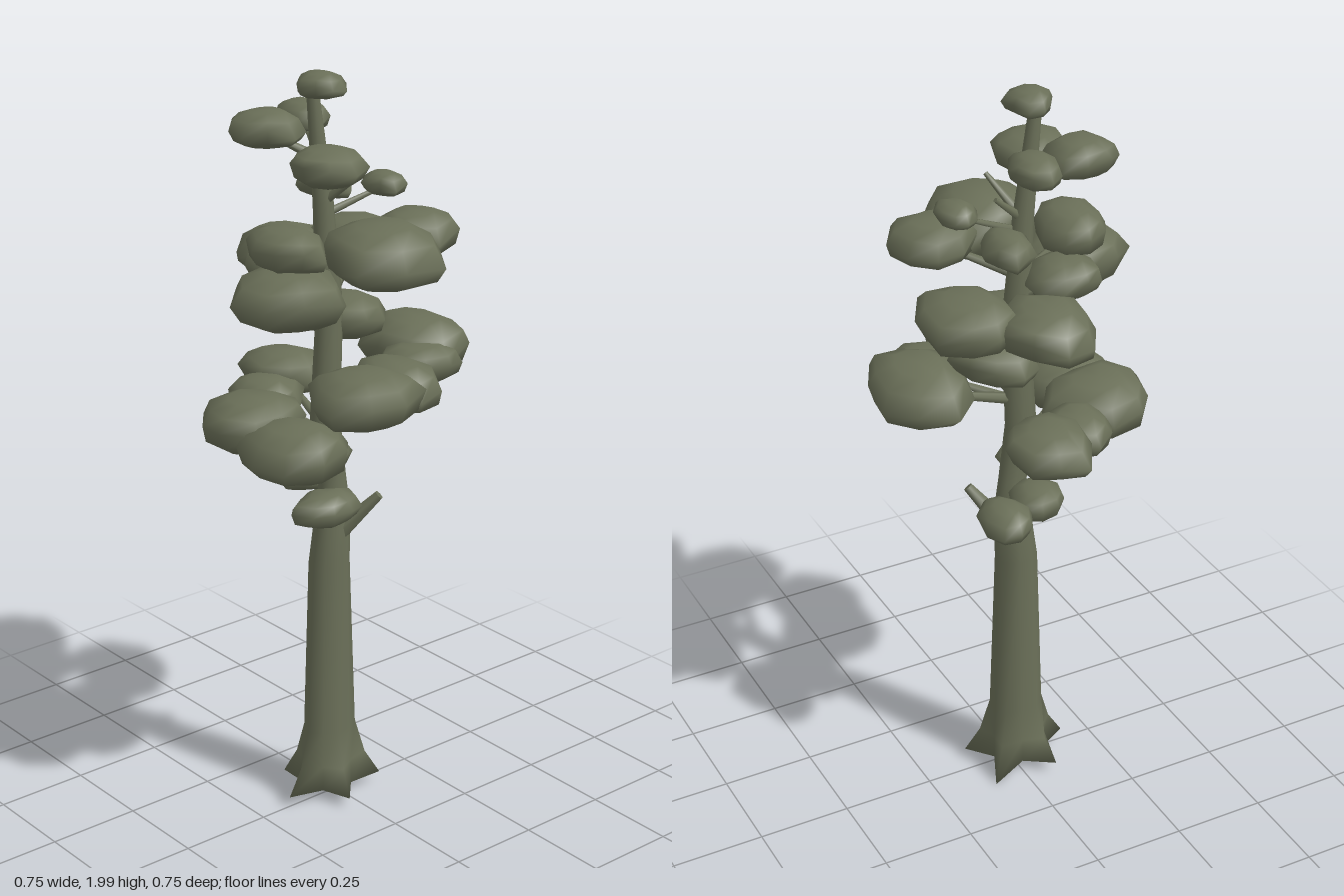
import * as THREE from 'three';

const mat = new THREE.MeshStandardMaterial({ color: 0x6a6f58 });
mat.name = 'mossy olive';

function seeded(seed) {
  let s = seed * 7919 + 17;
  return () => {
    s = (s * 16807) % 2147483647;
    return s / 2147483647;
  };
}

function add(parent, geometry, name) {
  const mesh = new THREE.Mesh(geometry, mat);
  mesh.name = name;
  parent.add(mesh);
  return mesh;
}

// Joins rings of n points into a closed skin; pos holds the bottom tip, the rings, the top tip
function skin(pos, n) {
  const index = [], top = pos.length / 3 - 1;
  for (let i = 0; i < n; i++) {
    const k = (i + 1) % n;
    index.push(0, 1 + i, 1 + k, top, top - n + k, top - n + i);
    for (let ring = 1; ring < top - n; ring += n) {
      const a = ring + i, b = ring + k;
      index.push(a, a + n, b, b, a + n, b + n);
    }
  }
  const g = new THREE.BufferGeometry();
  g.setAttribute('position', new THREE.Float32BufferAttribute(pos, 3));
  g.setIndex(index);
  g.computeVertexNormals();
  return g;
}

// Trunk rings: height, sideways drift, half width
const trunkZ = -0.012;
const trunkRings = [
  [0.03, -0.015, 0.108], [0.1, -0.015, 0.088], [0.2, -0.015, 0.073],
  [0.68, -0.012, 0.058], [0.82, 0, 0.05], [0.92, 0, 0.037],
  [1.08, -0.025, 0.042], [1.38, -0.01, 0.037], [1.66, -0.03, 0.028], [1.94, -0.062, 0.017],
];

function trunkAt(y) {
  const i = Math.max(1, trunkRings.findIndex((ring) => ring[0] >= y));
  const [y0, x0] = trunkRings[i - 1], [y1, x1] = trunkRings[i];
  return new THREE.Vector3(THREE.MathUtils.mapLinear(y, y0, y1, x0, x1), y, trunkZ);
}

// The lowest rings swell into five roots, one of them reaching the ground
function trunkGeometry() {
  const n = 10, pos = [-0.015, 0.035, trunkZ];
  trunkRings.forEach(([y, x, r], j) => {
    const flare = [0.38, 0.2, 0.05][j] || 0;
    for (let i = 0; i < n; i++) {
      const a = (i / n) * Math.PI * 2 + 0.5;
      const k = r * (1 + (i % 2 ? -0.8 : 1) * flare);
      const dip = j === 0 && i === 8 ? 0.03 : 0;
      pos.push(x + Math.cos(a) * k, y - dip, trunkZ + Math.sin(a) * k * 0.84);
    }
  });
  pos.push(-0.062, 1.96, trunkZ);
  return skin(pos, n);
}

// Tapered limb between two points
function limb(parent, from, to, radius, name) {
  const dir = to.clone().sub(from);
  const mesh = add(parent, new THREE.CylinderGeometry(radius * 0.45, radius, dir.length(), 6), name);
  mesh.position.copy(from).addScaledVector(dir, 0.5);
  mesh.quaternion.setFromUnitVectors(new THREE.Vector3(0, 1, 0), dir.normalize());
}

// Flattened, irregular foliage pad: domed top, full underside, uneven rim
function padGeometry(rx, ry, rz, seed) {
  const rand = seeded(seed);
  const n = 9, turn = rand() * 6, pos = [0, -ry, 0];
  const rim = Array.from({ length: n }, () => [0.88 + rand() * 0.22, (rand() - 0.5) * 0.7]);
  for (const [r, h] of [[0.56, -0.92], [0.88, -0.6], [1, 0], [0.83, 0.6], [0.46, 0.95]]) {
    rim.forEach(([spread, lift], i) => {
      const a = turn + (i / n) * Math.PI * 2;
      const k = r * spread * (0.95 + rand() * 0.1);
      const y = (h + lift * r * (1 - Math.abs(h))) * ry;
      pos.push(Math.cos(a) * rx * k, y, Math.sin(a) * rz * k);
    });
  }
  pos.push(0, ry, 0);
  return skin(pos, n);
}

// Foliage pads, from the crown down: x, y, z, half width, half depth
const pads = [
  [-0.052, 1.96, 0, 0.06, 0.07],
  [-0.13, 1.845, -0.11, 0.1, 0.09],
  [0.01, 1.85, -0.14, 0.07, 0.085],
  [-0.11, 1.785, 0.095, 0.095, 0.1],
  [0.13, 1.69, 0.03, 0.052, 0.07],
  [0.085, 1.665, -0.15, 0.065, 0.095],
  [-0.02, 1.575, 0.2, 0.165, 0.16],
  [0.14, 1.585, 0.13, 0.12, 0.11],
  [-0.19, 1.58, 0.04, 0.095, 0.13],
  [-0.11, 1.51, -0.07, 0.1, 0.1],
  [-0.22, 1.475, 0.095, 0.15, 0.15],
  [0.185, 1.49, -0.14, 0.12, 0.15],
  [0.02, 1.475, -0.235, 0.125, 0.14],
  [0.08, 1.33, -0.07, 0.105, 0.125],
  [-0.11, 1.23, 0.235, 0.145, 0.14],
  [0.02, 1.23, 0.2, 0.105, 0.145],
  [0.245, 1.245, 0.02, 0.14, 0.16],
  [0.18, 1.23, 0.12, 0.11, 0.1],
  [-0.235, 1.09, 0.125, 0.14, 0.15],
  [-0.23, 1.115, -0.05, 0.15, 0.14],
  [-0.1, 1.12, -0.17, 0.1, 0.11],
  [0.02, 1.145, -0.24, 0.105, 0.13],
  [-0.12, 0.9, 0.11, 0.1, 0.075],
  [-0.02, 0.905, -0.11, 0.08, 0.085],
  [0.1, 0.915, -0.17, 0.07, 0.1],
];

// Bare twigs: height on the trunk, tip x, y, z, radius
const twigs = [
  [0.74, 0.085, 0.87, 0.075, 0.03],
  [1.66, 0.02, 1.75, 0.09, 0.014],
  [1.66, 0.05, 1.73, -0.02, 0.014],
  [0.93, -0.2, 1.06, 0.1, 0.014],
];

export function createModel() {
  const model = new THREE.Group(), foliage = new THREE.Group(), branches = new THREE.Group();
  model.name = 'tree';
  foliage.name = 'foliage';
  branches.name = 'branches';
  model.add(foliage, branches);
  add(model, trunkGeometry(), 'trunk');

  pads.forEach(([x, y, z, rx, rz], i) => {
    const ry = 0.002 + 0.225 * (rx + rz);
    add(foliage, padGeometry(rx, ry, rz, i + 1), 'foliagePad').position.set(x, y, z);
    // Supporting branch rising from the trunk into the pad
    const root = trunkAt(y - 0.03 - Math.hypot(x, z) * 0.25);
    limb(branches, root, new THREE.Vector3(x, y - ry * 0.3, z), 0.008 + rx * 0.06, 'branch');
  });

  for (const [height, x, y, z, radius] of twigs) {
    limb(branches, trunkAt(height), new THREE.Vector3(x, y, z), radius, 'twig');
  }
  return model;
}
